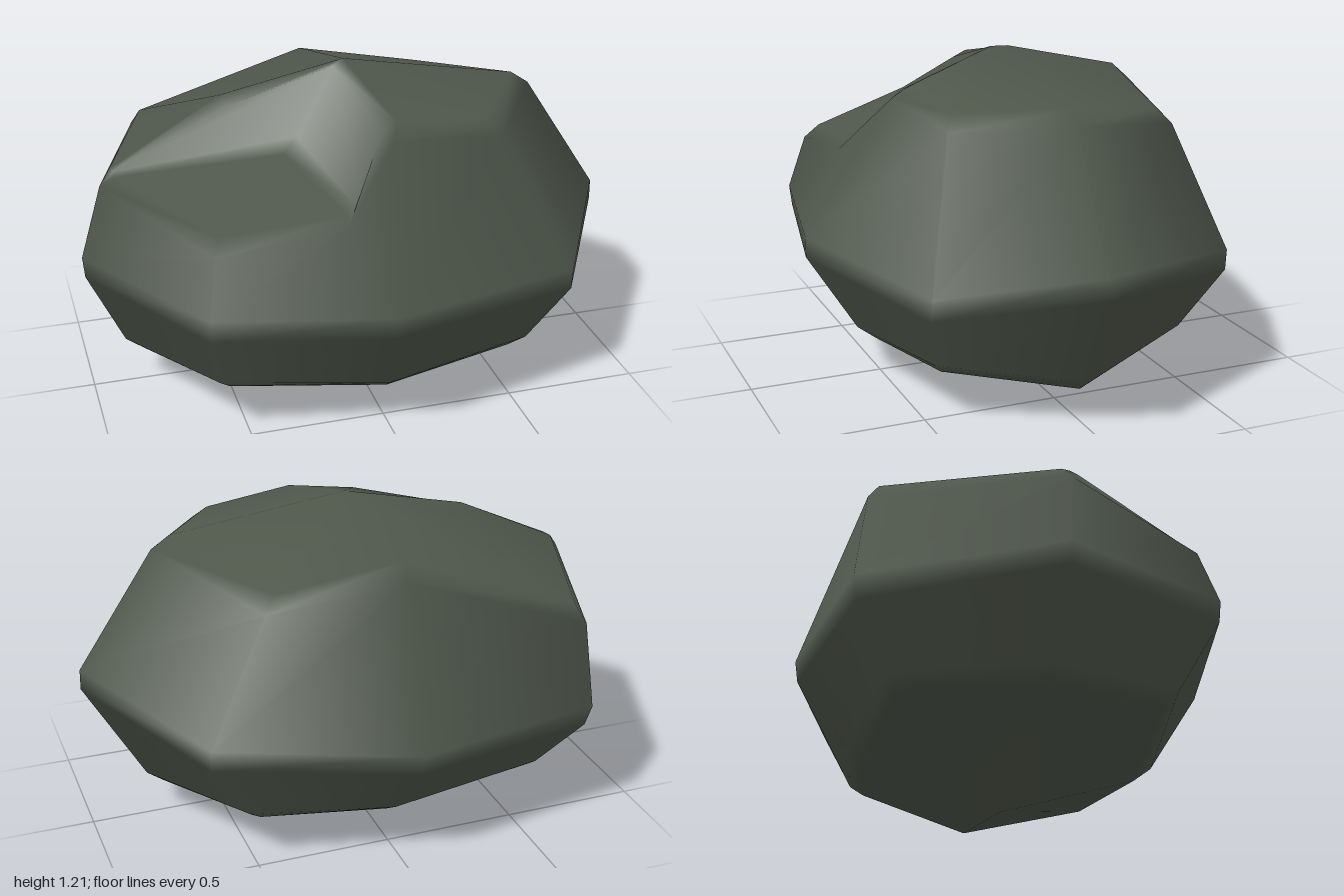
import * as THREE from 'three';

// Each group of faces is smooth inside; borders between groups get a soft bevel.
// faces: [{ group, ids }], corners anticlockwise seen from outside
function softBevel(points, faces, inset) {
  const owner = new Map(), pos = [], nor = [], index = [], slot = {};
  faces.forEach((face) => {
    const n = face.ids.length;
    face.centre = new THREE.Vector3();
    face.normal = new THREE.Vector3();
    face.ids.forEach((v, k) => {
      const next = face.ids[(k + 1) % n];
      owner.set(v + '>' + next, face);
      face.centre.addScaledVector(points[v], 1 / n);
      face.normal.add(points[v].clone().cross(points[next]));
    });
  });
  // Faces around each corner, in order
  const around = points.map((_, v) => {
    const first = faces.find((face) => face.ids.includes(v)), ring = [];
    let face = first;
    do {
      ring.push(face);
      const k = face.ids.indexOf(v), n = face.ids.length;
      face = owner.get(v + '>' + face.ids[(k + n - 1) % n]);
    } while (face !== first);
    return ring;
  });
  // One vertex per corner and group, slid back from the group's border
  around.forEach((ring, v) => {
    for (const group of new Set(ring.map((face) => face.group))) {
      const mine = ring.filter((face) => face.group === group);
      const dir = new THREE.Vector3(), normal = new THREE.Vector3();
      for (const face of mine) {
        normal.add(face.normal);
        const next = face.ids[(face.ids.indexOf(v) + 1) % face.ids.length];
        if (owner.get(next + '>' + v).group === group) dir.add(points[next].clone().sub(points[v]).normalize());
      }
      if (dir.lengthSq() === 0) dir.copy(mine[0].centre).sub(points[v]);
      const p = points[v].clone();
      if (mine.length < ring.length) p.addScaledVector(dir.normalize(), inset);
      slot[group + v] = pos.length / 3;
      pos.push(...p.toArray());
      nor.push(...normal.normalize().toArray());
    }
  });
  const fan = (list) => {
    const ids = list.filter((id, k) => id !== list[(k + 1) % list.length]);
    for (let k = 1; k < ids.length - 1; k++) index.push(ids[0], ids[k], ids[k + 1]);
  };
  // Faces, edge strips, corner caps
  faces.forEach(({ group, ids }) => fan(ids.map((v) => slot[group + v])));
  for (const [key, { group }] of owner) {
    const [a, b] = key.split('>').map(Number), other = owner.get(b + '>' + a).group;
    if (a < b && group !== other) fan([slot[group + b], slot[group + a], slot[other + a], slot[other + b]]);
  }
  around.forEach((ring, v) => fan(ring.map((face) => slot[face.group + v])));

  const geometry = new THREE.BufferGeometry();
  geometry.setAttribute('position', new THREE.Float32BufferAttribute(pos, 3));
  geometry.setAttribute('normal', new THREE.Float32BufferAttribute(nor, 3));
  geometry.setIndex(index);
  return geometry;
}

export function createModel() {
  const group = new THREE.Group();
  group.name = 'rock';
  const stone = new THREE.MeshStandardMaterial({ color: 0x4f574b });
  stone.name = 'mossy grey stone';

  // Rings run right (+x), front, left (-x), back in eight steps
  const base = [[0.76, 0.13, 0], [0.54, 0.19, 0.47], [0, 0.145, 0.56], [-0.6, 0.2, 0.48],
    [-0.85, 0.14, 0], [-0.57, 0.19, -0.49], [0, 0.145, -0.54], [0.5, 0.18, -0.48]];
  const belt = [[1.024, 0.585, 0.04], [0.73, 0.48, 0.555], [-0.04, 0.51, 0.787], [-0.67, 0.53, 0.668],
    [-1.022, 0.515, 0.02], [-0.745, 0.45, -0.65], [-0.02, 0.45, -0.79], [0.705, 0.51, -0.6]];
  const rim = [[0.69, 1.1, 0.02], [0.45, 1.06, 0.38], [0.05, 1.1, 0.42], [-0.62, 0.82, 0.58],
    [-0.92, 0.89, 0.06], [-0.71, 0.86, -0.6], [-0.05, 1.09, -0.53], [0.43, 1.01, -0.47]];
  // Foot, peak, left ridge, and the inner and front corners of the chipped ledge
  const extra = [[0.08, 0, 0.02], [-0.03, 1.235, 0], [-0.45, 1.13, 0], [-0.25, 0.96, 0.16], [-0.12, 0.86, 0.585]];
  const points = [...base, ...belt, ...rim, ...extra].map((p) => new THREE.Vector3(...p));
  const B = 8, R = 16, foot = 24, peak = 25, ridge = 26, inner = 27, lip = 28;

  const faces = [];
  const add = (name, ...ids) => faces.push({ group: name, ids });
  for (let i = 0; i < 8; i++) {
    const j = (i + 1) % 8;
    add('underside', foot, i, j);
    add('lower', j, i, B + i, B + j);
    if (i === 2) add('upper', lip, R + j, B + j, B + i, R + i);
    else add('upper', B + j, B + i, R + i, R + j);
    if (i < 2 || i > 4) add('top', peak, R + j, R + i);
  }
  // Back of the ridge
  add('top', peak, R + 5, ridge);
  add('top', ridge, R + 5, R + 4);
  // Chipped ledge: two walls and its floor
  add('step', peak, inner, lip, R + 2);
  add('step', peak, ridge, R + 4, inner);
  add('ledge', inner, R + 4, R + 3, lip);

  const boulder = new THREE.Mesh(softBevel(points, faces, 0.045), stone);
  boulder.name = 'boulder';
  group.add(boulder);
  return group;
}
